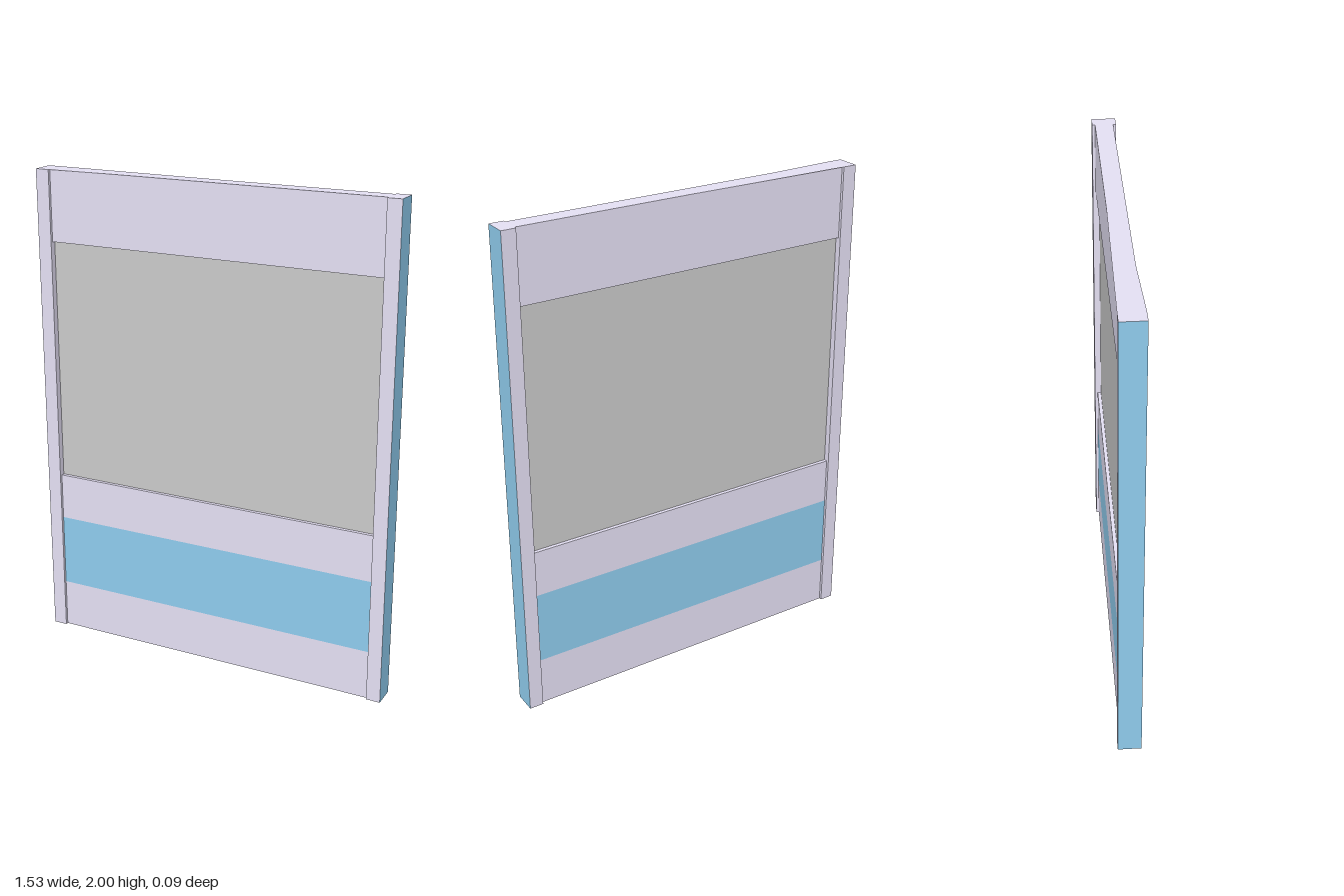
import * as THREE from 'three';

const IN = 0.707, OUT = 0.765;      // inner and outer edges of the posts
const POST = 0.0475, WALL = 0.036;  // half depths of posts and wall

export function createModel() {
  const group = new THREE.Group();
  const paint = (color, extra = {}) => new THREE.MeshStandardMaterial({ color, ...extra });
  const lavender = paint(0xe6e1f5);
  const blue = paint(0x90cdef);
  const grey = paint(0xcccccc);

  const add = (name, geometry, material) => {
    const mesh = new THREE.Mesh(geometry, material);
    mesh.name = name;
    group.add(mesh);
    return mesh;
  };

  // Wall bands stacked between the posts: name, bottom, top, half depth, material
  const bands = [
    ['bottomBand', 0, 0.205, WALL, lavender],
    ['blueStripe', 0.205, 0.51, WALL, blue],
    ['middleBand', 0.51, 0.705, WALL, lavender],
    ['recessedPanel', 0.705, 1.71, 0.021, grey],
    ['topBand', 1.71, 2, WALL, lavender],
  ];
  for (const [name, y0, y1, half, material] of bands) {
    add(name, new THREE.BoxGeometry(2 * IN, y1 - y0, 2 * half), material)
      .position.y = (y0 + y1) / 2;
  }

  // Side posts with blue outer ends
  for (const side of [1, -1]) {
    const faces = Array(6).fill(lavender);
    faces[side > 0 ? 0 : 1] = blue;
    add(side > 0 ? 'leftPost' : 'rightPost',
      new THREE.BoxGeometry(OUT - IN, 2, 2 * POST), faces)
      .position.set(side * (IN + OUT) / 2, 1, 0);
  }

  // Thin tapering lips of the top cap, running inward from the right post
  const lipMaterial = paint(0xe6e1f5, { side: THREE.DoubleSide });
  for (const [name, z, tip] of [['frontCapLip', 1, -0.42], ['backCapLip', -1, 0]]) {
    const lip = new THREE.Shape([
      new THREE.Vector2(-IN, -z * WALL),
      new THREE.Vector2(-IN, -z * POST),
      new THREE.Vector2(tip, -z * WALL),
    ]);
    const geometry = new THREE.ShapeGeometry(lip).rotateX(-Math.PI / 2);
    add(name, geometry, lipMaterial).position.y = 2;
  }
  return group;
}
